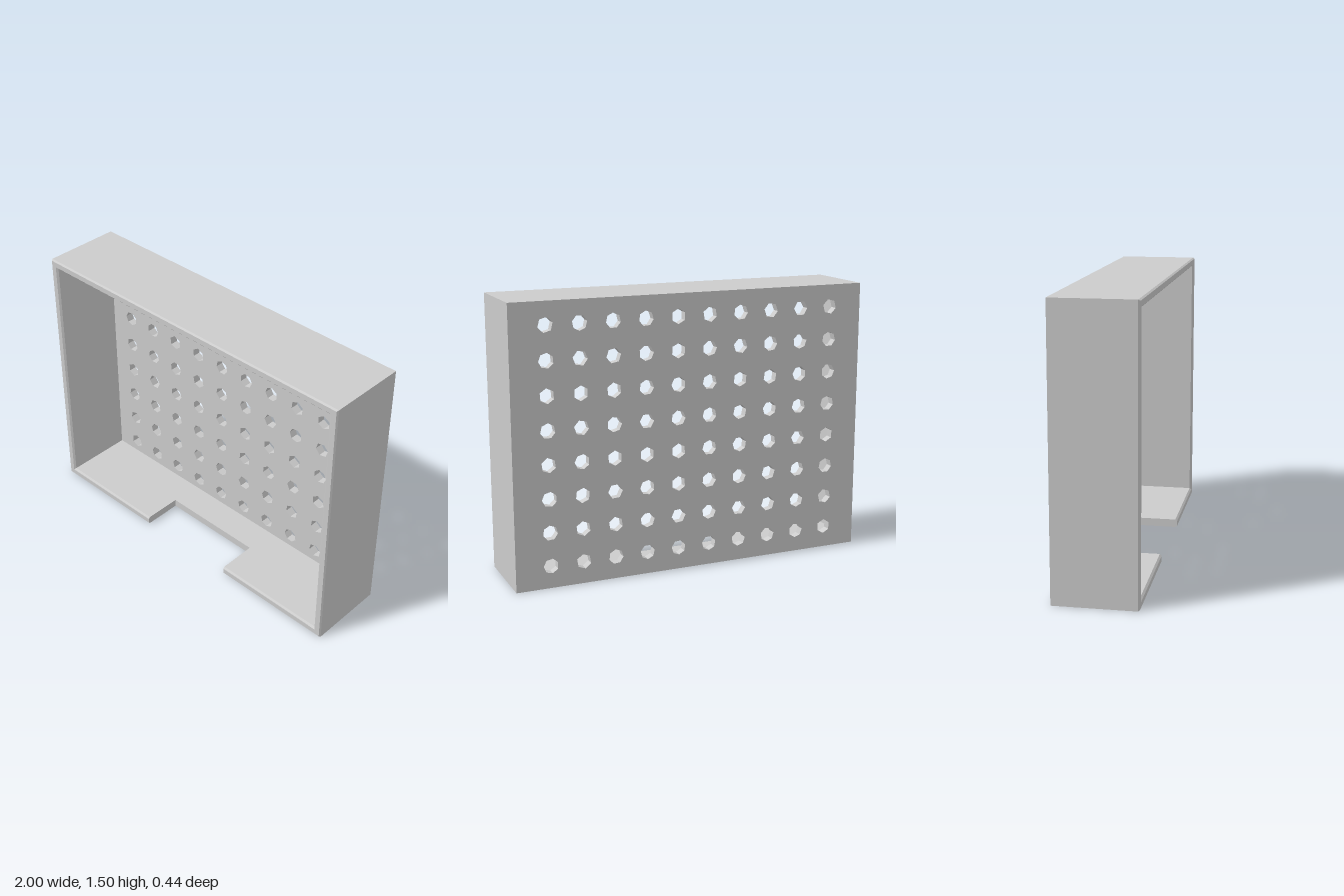
import * as THREE from 'three';

const W = 2, H = 1.5, D = 0.44, T = 0.045, C = 0.01; // size, wall thickness, rim chamfer
const BACK = -D / 2, FRONT = D / 2, FLOOR = BACK + T;
const NOTCH = 0.3;

export function createModel() {
  const group = new THREE.Group();
  const material = new THREE.MeshStandardMaterial({ color: 0xcccccc, flatShading: true });
  const add = (geometry, name) => {
    const mesh = new THREE.Mesh(geometry, material);
    mesh.name = name;
    mesh.position.y = H / 2;
    group.add(mesh);
    return mesh;
  };

  // Small seeded generator, turns each coarse hole by a different angle
  let seed = 7;
  const random = () => (seed = (seed * 16807) % 2147483647) / 2147483647;

  // Back panel with a 10 by 8 field of faceted holes
  const panel = new THREE.Shape([
    new THREE.Vector2(-W / 2, -H / 2), new THREE.Vector2(W / 2, -H / 2),
    new THREE.Vector2(W / 2, H / 2), new THREE.Vector2(-W / 2, H / 2),
  ]);
  for (let col = 0; col < 10; col++) {
    for (let row = 0; row < 8; row++) {
      const x = (col - 4.5) * 0.18, y = (row - 3.5) * 0.18;
      const sides = 6 + Math.floor(random() * 2), turn = random() * Math.PI * 2;
      const points = [];
      for (let i = 0; i < sides; i++) {
        const a = turn - (i / sides) * Math.PI * 2;
        points.push(new THREE.Vector2(x + 0.041 * Math.cos(a), y + 0.041 * Math.sin(a)));
      }
      panel.holes.push(new THREE.Path(points));
    }
  }
  const back = new THREE.ExtrudeGeometry(panel, { depth: T, bevelEnabled: false });
  back.translate(0, 0, BACK);
  add(back, 'perforatedBack');

  // Wall section: thickness inward by depth, with both front edges chamfered
  const section = new THREE.Shape([
    [0, FLOOR], [T, FLOOR], [T, FRONT - C], [T - C, FRONT], [C * 0.6, FRONT], [0, FRONT - C],
  ].map(([t, z]) => new THREE.Vector2(t, z)));

  // Wall along the lower edge from a to b; ends at the corners are mitred
  const wall = (a, b, half, offset) => {
    const geometry = new THREE.ExtrudeGeometry(section, { depth: 1, bevelEnabled: false });
    const p = geometry.attributes.position;
    for (let i = 0; i < p.count; i++) {
      const t = p.getX(i), z = p.getY(i);
      const limit = half - t;
      const s = THREE.MathUtils.clamp(p.getZ(i) > 0.5 ? b : a, -limit, limit);
      p.setXYZ(i, s, t - offset, z);
    }
    geometry.computeVertexNormals();
    return geometry;
  };

  // Top and side walls
  add(wall(-W / 2, W / 2, W / 2, H / 2), 'topWall').rotation.z = Math.PI;
  add(wall(-H / 2, H / 2, H / 2, W / 2), 'leftWall').rotation.z = Math.PI / 2;
  add(wall(-H / 2, H / 2, H / 2, W / 2), 'rightWall').rotation.z = -Math.PI / 2;

  // Bottom wall, cut away at the front centre
  add(wall(NOTCH, W / 2, W / 2, H / 2), 'bottomWallLeft');
  add(wall(-W / 2, -NOTCH, W / 2, H / 2), 'bottomWallRight');
  const middle = new THREE.BoxGeometry(2 * NOTCH, T, -FLOOR);
  middle.translate(0, -H / 2 + T / 2, FLOOR / 2);
  add(middle, 'bottomWallMiddle');

  return group;
}
